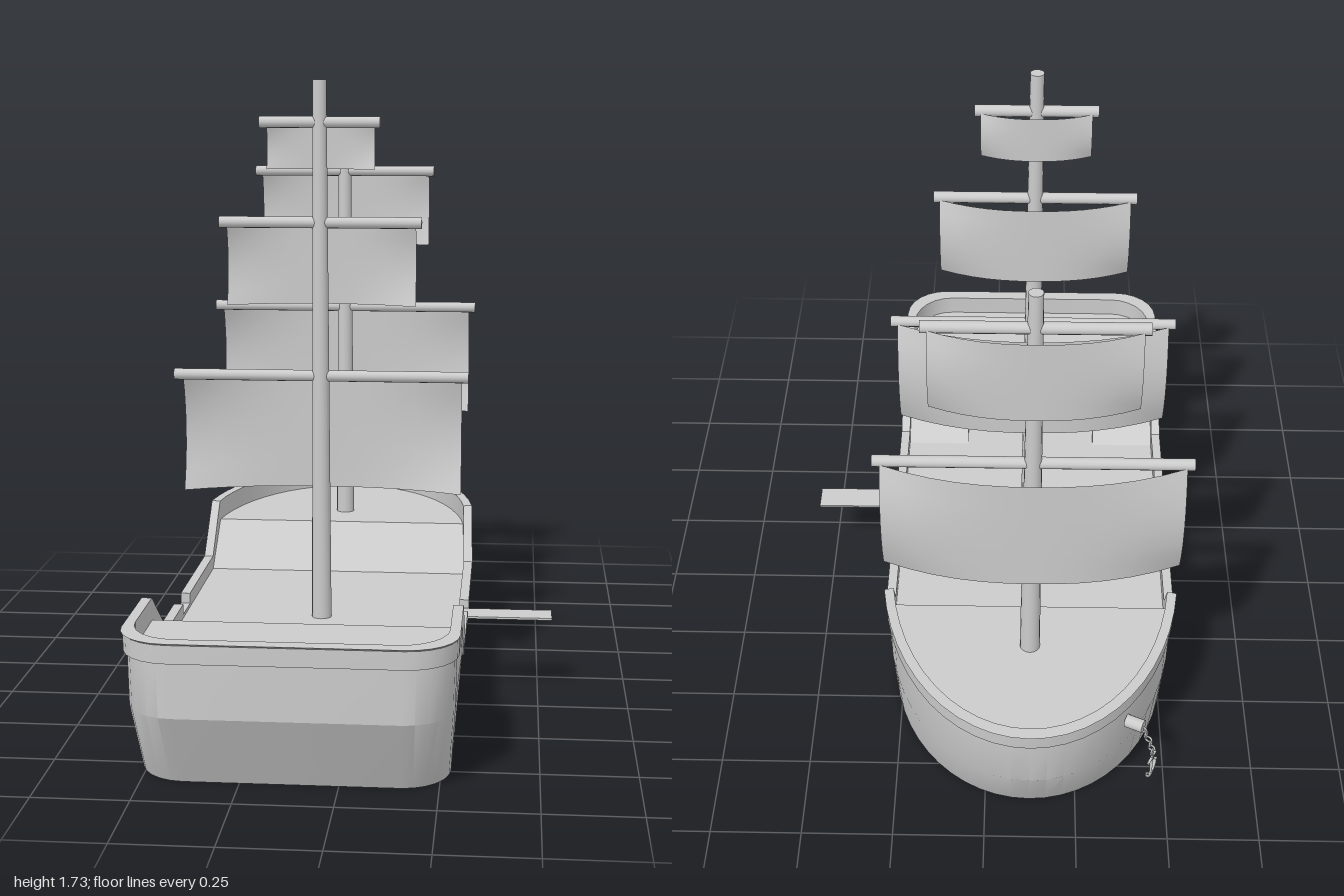
import * as THREE from 'three';
import { toCreasedNormals } from 'three/addons/utils/BufferGeometryUtils.js';

const CX = -0.12; // centre line of the ship
const grey = new THREE.MeshStandardMaterial({ color: 0xcccccc, side: THREE.DoubleSide });

function add(parent, name, geometry, x = 0, y = 0, z = 0) {
  const mesh = new THREE.Mesh(geometry, grey);
  mesh.name = name;
  mesh.position.set(x, y, z);
  parent.add(mesh);
  return mesh;
}

// Height of the rail along the ship
const sheer = [[-1, 0.4], [-0.46, 0.4], [-0.34, 0.25], [0.42, 0.25], [0.62, 0.4], [1, 0.4]];
function railTop(z) {
  for (let i = 1; i < sheer.length; i++) {
    const [z0, y0] = sheer[i - 1], [z1, y1] = sheer[i];
    if (z <= z1) return y0 + (y1 - y0) * Math.max(0, (z - z0) / (z1 - z0));
  }
  return 0.4;
}

// Plan outline: rounded stern, straight sides with a boarding gap, elliptical bow
function planOutline() {
  const side = [];
  const put = (x, z, top = railTop(z)) => side.push({ x, z, top });
  put(0, 1);
  for (let i = 0; i <= 6; i++) {
    const a = (i / 6) * Math.PI / 2;
    put(0.29 + 0.13 * Math.sin(a), 0.87 + 0.13 * Math.cos(a));
  }
  put(0.42, 0.62);
  put(0.42, 0.42);
  put(0.42, 0.18);
  put(0.42, 0.18, 0.22);
  put(0.42, 0.07, 0.22);
  put(0.42, 0.07);
  put(0.42, -0.34);
  const start = Math.asin(0.11 / 0.65);
  for (let i = 0; i <= 12; i++) {
    const a = start + (i / 12) * (Math.PI / 2 - start);
    put(0.42 * Math.cos(a), -0.35 - 0.65 * Math.sin(a));
  }
  const port = side.slice(1, -1).reverse().map(p => ({ ...p, x: -p.x }));
  return [...side, ...port];
}

// Fits the plan outline to a half width, stern end and bow end
function fit(p, halfWidth, stern, bow) {
  const x = p.x * halfWidth / 0.42;
  let z = p.z;
  if (z < -0.35) z = -0.35 + (z + 0.35) * (-0.35 - bow) / 0.65;
  if (z > 0.8) z -= 1 - stern;
  return [x, z];
}

// Hull shell: sides, rail band, rail top and inner bulwark
function hullGeometry(outline) {
  const band = p => Math.max(0.2, p.top - 0.055);
  const levels = [
    [0.395, 0.87, -0.87, () => 0],
    [0.408, 0.968, -0.972, () => 0.2],
    [0.411, 0.968, -0.978, band],
    [0.417, 0.985, -0.985, band],
    [0.418, 0.985, -0.988, p => p.top - 0.008],
    [0.42, 1, -1, p => p.top],
    [0.393, 0.96, -0.965, p => p.top],
    [0.393, 0.96, -0.965, p => band(p) - 0.03],
  ];
  const n = outline.length, positions = [], index = [];
  levels.forEach(([w, s, b, height], j) => outline.forEach((p, i) => {
    const [x, z] = fit(p, w, s, b);
    positions.push(x, height(p), z);
    if (j === 0) return;
    const k = (i + 1) % n, lo = (j - 1) * n, hi = j * n;
    index.push(lo + i, lo + k, hi + k, lo + i, hi + k, hi + i);
  }));
  const g = new THREE.BufferGeometry();
  g.setAttribute('position', new THREE.Float32BufferAttribute(positions, 3));
  g.setIndex(index);
  return toCreasedNormals(g, 0.45);
}

// Deck piece between two stations, sloping from y0 to y1
function deckGeometry(outline, z0, z1, y0, y1) {
  const inside = outline.map(p => fit(p, 0.394, 0.961, -0.966));
  const halfAt = z => z > -0.35 ? 0.394 : 0.394 * Math.sqrt(1 - ((z + 0.35) / 0.616) ** 2);
  const pts = inside.filter(([x, z]) => x >= 0 && z > z0 + 0.001 && z < z1 - 0.001);
  if (z1 < 0.9) pts.unshift([halfAt(z1), z1]);
  if (z0 > -0.9) pts.push([halfAt(z0), z0]);
  const loop = [...pts, ...pts.slice().reverse().map(([x, z]) => [-x, z])];
  const g = new THREE.ShapeGeometry(new THREE.Shape(loop.map(([x, z]) => new THREE.Vector2(x, -z))));
  g.rotateX(-Math.PI / 2);
  const pos = g.attributes.position;
  for (let i = 0; i < pos.count; i++) pos.setY(i, y0 + (y1 - y0) * (pos.getZ(i) - z0) / (z1 - z0));
  g.computeVertexNormals();
  return g;
}

// Stair wedge without a base: slope and inner cheek
function stairGeometry(inner, outer) {
  const z0 = 0.41, z1 = 0.62, y0 = 0.21, y1 = 0.34;
  const g = new THREE.BufferGeometry();
  g.setAttribute('position', new THREE.Float32BufferAttribute([
    inner, y0, z0, inner, y1, z1, outer, y1, z1,
    inner, y0, z0, outer, y1, z1, outer, y0, z0,
    inner, y0, z0, inner, y0, z1, inner, y1, z1], 3));
  if (outer < inner) { // reverse the winding on the mirrored side
    const p = g.attributes.position;
    for (let t = 0; t < 9; t += 3) {
      const a = new THREE.Vector3().fromBufferAttribute(p, t + 1);
      const b = new THREE.Vector3().fromBufferAttribute(p, t + 2);
      p.setXYZ(t + 1, b.x, b.y, b.z);
      p.setXYZ(t + 2, a.x, a.y, a.z);
    }
  }
  g.computeVertexNormals();
  return g;
}

// Sail filled towards the bow, with curved side edges
function sailGeometry(half, drop) {
  const g = new THREE.PlaneGeometry(half * 2, drop, 12, 6);
  g.translate(0, -drop / 2, 0);
  const belly = half * 0.2, pos = g.attributes.position;
  for (let i = 0; i < pos.count; i++) {
    const u = Math.abs(pos.getX(i) / half) ** 2.3, v = -pos.getY(i) / drop;
    pos.setZ(i, -belly * (1 - u) - u * belly * 0.5 * 4 * v * (1 - v));
  }
  g.computeVertexNormals();
  return g;
}

// Mast with its yards and sails; each sail is [yardY, yardHalf, sailHalf, drop]
function addMast(ship, name, z, base, top, sails) {
  const mast = new THREE.Group();
  mast.name = name;
  mast.position.z = z;
  ship.add(mast);
  add(mast, 'pole', new THREE.CylinderGeometry(0.019, 0.028, top - base, 16), 0, (top + base) / 2, 0);
  for (const [y, yardHalf, sailHalf, drop] of sails) {
    const yard = new THREE.CylinderGeometry(0.016, 0.016, yardHalf * 2, 12).rotateZ(Math.PI / 2);
    add(mast, 'yard', yard, 0, y, 0);
    add(mast, 'sail', sailGeometry(sailHalf, drop), 0, y, -0.016);
  }
}

function addAnchor(ship) {
  const anchor = new THREE.Group();
  anchor.name = 'anchor';
  anchor.position.set(-0.285, 0.29, -0.845);
  anchor.rotation.y = Math.PI * 0.86; // local x points away from the bow
  ship.add(anchor);
  add(anchor, 'hawse', new THREE.CylinderGeometry(0.018, 0.018, 0.05, 12).rotateZ(Math.PI / 2));
  for (let i = 0; i < 6; i++) {
    const link = add(anchor, 'chainLink', new THREE.TorusGeometry(0.009, 0.003, 6, 10),
      0.025 + 0.03 * Math.sin(i * 0.3), -0.012 - i * 0.015, 0);
    link.rotation.y = (i % 2) * Math.PI / 2;
  }
  add(anchor, 'shank', new THREE.CylinderGeometry(0.004, 0.004, 0.075, 8), 0.055, -0.135, 0);
  add(anchor, 'stock', new THREE.CylinderGeometry(0.004, 0.004, 0.05, 8).rotateX(Math.PI / 2), 0.055, -0.11, 0);
  const arms = add(anchor, 'arms', new THREE.TorusGeometry(0.03, 0.005, 6, 12, Math.PI), 0.055, -0.143, 0);
  arms.rotation.set(Math.PI, Math.PI / 2, 0);
}

export function createModel() {
  const model = new THREE.Group();
  model.name = 'sailingShip';
  const ship = new THREE.Group();
  ship.name = 'ship';
  ship.position.x = CX;
  model.add(ship);

  const outline = planOutline();
  add(ship, 'hull', hullGeometry(outline));

  // Decks
  add(ship, 'bowDeck', deckGeometry(outline, -1, -0.46, 0.34, 0.34));
  add(ship, 'bowRamp', deckGeometry(outline, -0.46, -0.34, 0.34, 0.21));
  add(ship, 'mainDeck', deckGeometry(outline, -0.34, 0.62, 0.21, 0.21));
  add(ship, 'sternDeck', deckGeometry(outline, 0.62, 1, 0.34, 0.34));
  add(ship, 'sternBulkhead', new THREE.PlaneGeometry(0.788, 0.13).rotateY(Math.PI), 0, 0.275, 0.62);
  for (const s of [1, -1]) add(ship, 'sternStairs', stairGeometry(s * 0.203, s * 0.4));

  // Boarding plank at the gap in the left rail
  add(ship, 'plank', new THREE.BoxGeometry(0.25, 0.006, 0.08), 0.532, 0.225, 0.12);

  addMast(ship, 'mainMast', 0.13, 0.2, 1.73, [
    [1.615, 0.167, 0.15, 0.13],
    [1.34, 0.282, 0.265, 0.235],
    [0.91, 0.415, 0.395, 0.34],
  ]);
  addMast(ship, 'foreMast', -0.61, 0.33, 1.545, [
    [1.44, 0.282, 0.265, 0.235],
    [1.01, 0.415, 0.395, 0.34],
  ]);

  addAnchor(ship);
  return model;
}
